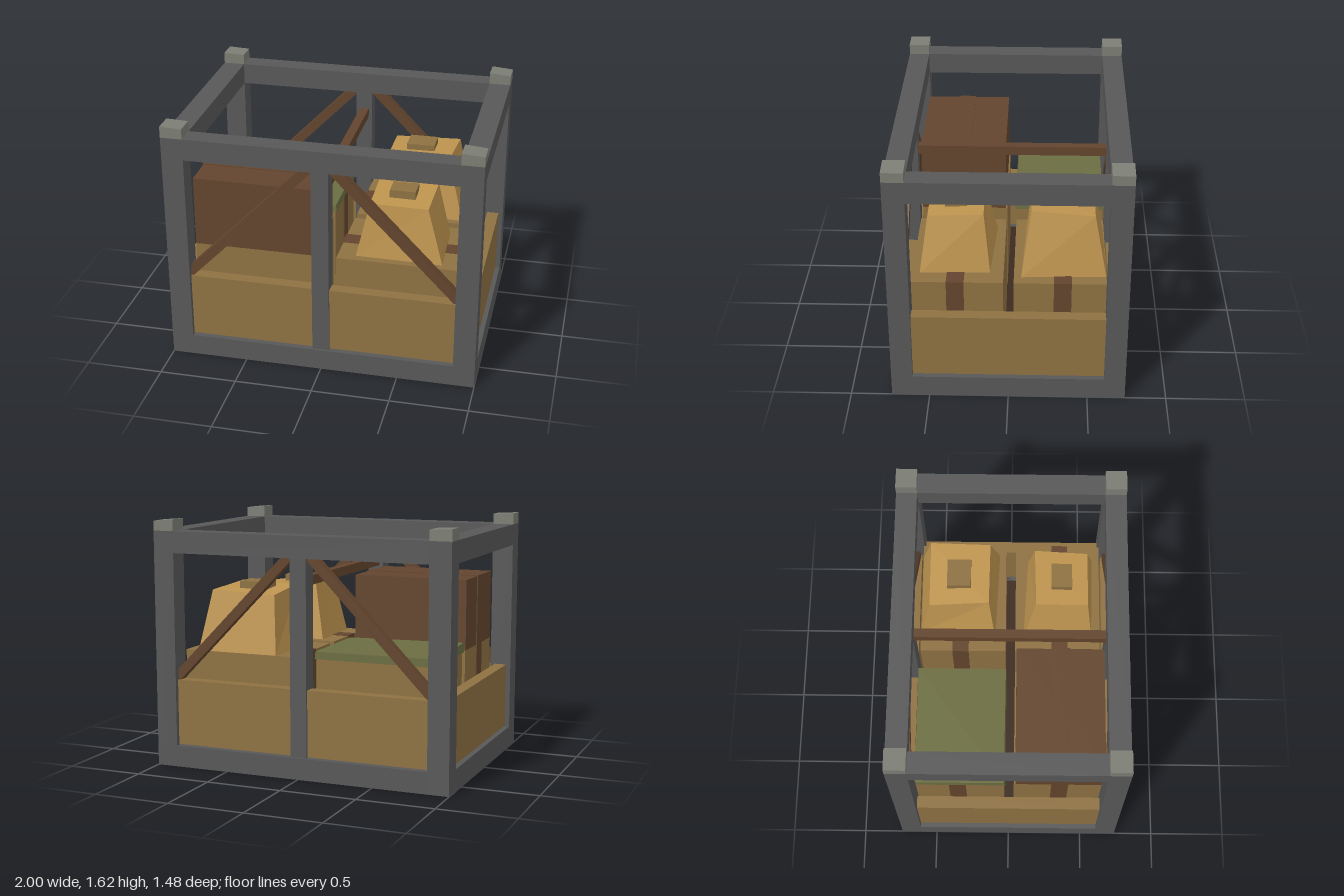
import * as THREE from 'three';

const mat = (name, color) => {
  const m = new THREE.MeshStandardMaterial({ color });
  m.name = name;
  return m;
};

export function createModel() {
  const steel = mat('steel grey', 0x585858);
  const capGrey = mat('pale grey', 0x7c7e75);
  const wood = mat('crate tan', 0x8e7142);
  const cloth = mat('light tan', 0xbe944f);
  const brown = mat('brown', 0x63452e);
  const olive = mat('olive', 0x6b6d41);
  const dark = mat('dark floor brown', 0x3c2a1e);

  const model = new THREE.Group();
  model.name = 'cargoFrame';

  const add = (name, geometry, material) => {
    const mesh = new THREE.Mesh(geometry, material);
    mesh.name = name;
    model.add(mesh);
    return mesh;
  };

  // Box given by its limits on each axis
  const block = (name, material, [x0, x1], [y0, y1], [z0, z1]) => {
    const mesh = add(name, new THREE.BoxGeometry(x1 - x0, y1 - y0, z1 - z0), material);
    mesh.position.set((x0 + x1) / 2, (y0 + y1) / 2, (z0 + z1) / 2);
    return mesh;
  };

  // Box whose eight corners are moved; corners run back-left, back-right, front-right, front-left
  const hexa = (name, material, bottom, top) => {
    let g = new THREE.BoxGeometry(1, 1, 1);
    const p = g.attributes.position;
    for (let i = 0; i < p.count; i++) {
      const right = p.getX(i) > 0, front = p.getZ(i) > 0;
      const k = front ? (right ? 2 : 3) : (right ? 1 : 0);
      p.setXYZ(i, ...(p.getY(i) > 0 ? top : bottom)[k]);
    }
    g = g.toNonIndexed();
    g.computeVertexNormals();
    return add(name, g, material);
  };

  // Corner posts and their crooked caps
  for (const sx of [-1, 1]) for (const sz of [-1, 1]) {
    const xr = sx < 0 ? [-1, -0.86] : [0.86, 1];
    const zr = sz < 0 ? [-0.74, -0.605] : [0.605, 0.74];
    block('cornerPost', steel, xr, [0, 1.54], zr);
    const ring = (h) => [[xr[0], h, zr[0]], [xr[1], h, zr[0]], [xr[1], h, zr[1]], [xr[0], h, zr[1]]];
    const top = ring(1.613);
    top.forEach((c) => { if (c[0] * sx < 0.9 && sx > 0) c[1] -= -0.002; else if (sx > 0) c[1] -= 0.01; else if (c[0] > -0.9) c[1] -= 0.006; });
    hexa('cornerCap', capGrey, ring(1.54), top);
  }

  // Horizontal beams, bottom and top
  for (const y of [[0, 0.14], [1.4, 1.54]]) {
    for (const s of [-1, 1]) {
      block('longBeam', steel, [-0.86, 0.86], y, s < 0 ? [-0.74, -0.605] : [0.605, 0.74]);
      block('crossBeam', steel, s < 0 ? [-1, -0.86] : [0.86, 1], y, [-0.605, 0.605]);
    }
  }

  // Floor
  block('floor', dark, [-0.88, 0.88], [0.09, 0.14], [-0.63, 0.63]);

  // Middle posts, diagonal braces and plank walls
  for (const s of [-1, 1]) {
    const z = s * 0.67;
    block('middlePost', steel, [-0.057, 0.053], [0.14, 1.4], [z - 0.055, z + 0.055]);
    for (const sx of [-1, 1]) {
      const a = new THREE.Vector2(sx * 0.88, 0.58), b = new THREE.Vector2(sx * 0.055, 1.425);
      const brace = add('diagonalBrace', new THREE.BoxGeometry(a.distanceTo(b), 0.06, 0.06), brown);
      brace.position.set((a.x + b.x) / 2, (a.y + b.y) / 2, z);
      brace.rotation.z = Math.atan2(b.y - a.y, b.x - a.x);
      block('longWall', wood, sx < 0 ? [-0.862, -0.057] : [0.053, 0.862], [0.145, 0.573], [z - 0.04, z + 0.04]);
    }
    block('endWall', wood, [s * 0.93 - 0.04, s * 0.93 + 0.04], [0.145, 0.575], [-0.607, 0.607]);
  }

  // Ridge bar between the middle posts
  block('ridgeBar', brown, [-0.03, 0.03], [1.22, 1.28], [-0.63, 0.63]);

  // Strap wrapped around a crate: a slightly larger band
  const strap = (x, y, zc) =>
    block('strap', brown, [x[0] - 0.006, x[1] + 0.006], [y[0], y[1] + 0.005], [zc - 0.055, zc + 0.055]);

  // Four base crates with straps
  for (const x of [[-0.85, -0.075], [0.075, 0.85]]) {
    for (const [z, zc] of [[[0.035, 0.607], 0.335], [[-0.607, -0.03], -0.335]]) {
      block('baseCrate', wood, x, [0.14, 0.757], z);
      strap(x, [0.14, 0.757], zc);
    }
  }

  // Upper brown crate and olive lid on the right-hand stack
  block('upperCrate', brown, [-0.85, -0.077], [0.757, 1.218], [0.045, 0.607]);
  strap([-0.85, -0.077], [0.757, 1.218], 0.335);
  hexa('oliveLid', olive,
    [[-0.86, 0.757, -0.61], [-0.065, 0.757, -0.61], [-0.065, 0.757, -0.02], [-0.86, 0.757, -0.02]],
    [[-0.86, 0.81, -0.61], [-0.07, 0.805, -0.61], [-0.07, 0.805, -0.025], [-0.86, 0.82, -0.03]]);

  // Tapered sacks with square stoppers
  hexa('frontSack', cloth,
    [[0.18, 0.757, 0.09], [0.73, 0.757, 0.12], [0.745, 0.757, 0.56], [0.19, 0.757, 0.55]],
    [[0.265, 1.13, 0.17], [0.65, 1.13, 0.16], [0.64, 1.11, 0.51], [0.27, 1.115, 0.51]]);
  block('frontStopper', wood, [0.375, 0.54], [1.1, 1.17], [0.27, 0.405]);
  hexa('backSack', cloth,
    [[0.21, 0.757, -0.6], [0.76, 0.757, -0.605], [0.78, 0.757, -0.075], [0.165, 0.757, -0.1]],
    [[0.25, 1.135, -0.53], [0.69, 1.15, -0.53], [0.67, 1.17, -0.135], [0.26, 1.165, -0.14]]);
  block('backStopper', wood, [0.365, 0.55], [1.12, 1.2], [-0.415, -0.26]);

  return model;
}
